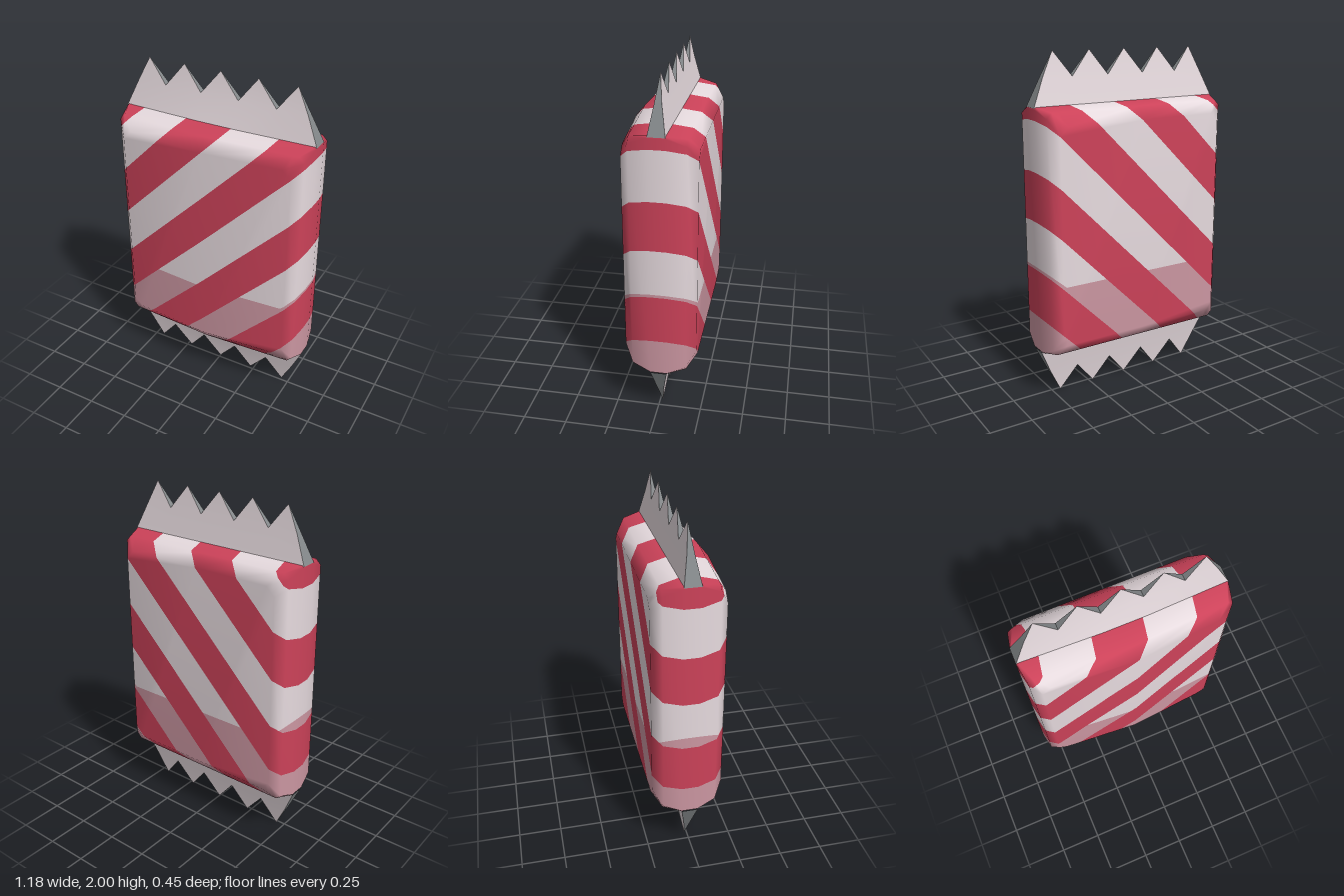
import * as THREE from 'three';

const mat = (name, color, side = THREE.FrontSide) => {
  const m = new THREE.MeshStandardMaterial({ color, side });
  m.name = name;
  return m;
};

function addMesh(group, name, geometry, material) {
  const mesh = new THREE.Mesh(geometry, material);
  mesh.name = name;
  group.add(mesh);
}

function indexed(points, index) {
  const g = new THREE.BufferGeometry();
  g.setAttribute('position', new THREE.Float32BufferAttribute(points.flat(), 3));
  g.setIndex(index);
  g.computeVertexNormals();
  return g;
}

// Pillow body: chamfered rectangles stacked from back to front, with a soft front ridge
function bodyGeometry() {
  // half width, half height, corner chamfer, z at the ends, z at the middle
  const layers = [
    [0.52, 0.62, 0.05, -0.225, -0.225],
    [0.57, 0.69, 0.03, -0.17, -0.17],
    [0.59, 0.71, 0.01, -0.065, -0.065],
    [0.59, 0.71, 0.01, 0.03, 0.05],
    [0.57, 0.69, 0.03, 0.135, 0.165],
    [0.52, 0.62, 0.05, 0.185, 0.222],
  ];
  const points = [], index = [], n = 10;
  for (const [w, h, c, ze, zm] of layers) {
    const ring = [[w, c - h], [w, h - c], [w - c, h], [0, h], [c - w, h],
      [-w, h - c], [-w, c - h], [c - w, -h], [0, -h], [w - c, -h]];
    for (const [x, y] of ring) points.push([x, y + 1, x === 0 ? zm : ze]);
  }
  for (let l = 0; l < layers.length - 1; l++) {
    for (let i = 0; i < n; i++) {
      const a = l * n + i, b = l * n + (i + 1) % n;
      index.push(a, b, b + n, a, b + n, a + n);
    }
  }
  const fan = (ids) => {
    for (let i = 1; i < ids.length - 1; i++) index.push(ids[0], ids[i], ids[i + 1]);
  };
  const f = (layers.length - 1) * n;
  fan([8, 9, 0, 1, 2, 3].map((i) => i + f));
  fan([3, 4, 5, 6, 7, 8].map((i) => i + f));
  fan([3, 2, 1, 0, 9, 8]);
  fan([8, 7, 6, 5, 4, 3]);
  return indexed(points, index);
}

// Keep the part of a polygon where f >= 0; vertices are [x, y, z, nx, ny, nz]
function clip(poly, f) {
  const out = [];
  poly.forEach((p, i) => {
    const q = poly[(i + 1) % poly.length], a = f(p), b = f(q);
    if (a >= 0) out.push(p);
    if ((a >= 0) !== (b >= 0)) {
      const t = a / (a - b);
      out.push(p.map((v, k) => v + (q[k] - v) * t));
    }
  });
  return out;
}

// Cut the body into diagonal stripes; the pale ones turn pink near the bottom
function stripeGeometries() {
  const g = bodyGeometry(), pos = g.attributes.position, nor = g.attributes.normal;
  const parts = { red: [], white: [], pink: [] };
  const emit = (key, poly) => {
    for (let i = 1; i < poly.length - 1; i++) parts[key].push(poly[0], poly[i], poly[i + 1]);
  };
  const zones = [
    { from: -1, to: -0.5, level: (x) => 0.73 + (-x - 0.5) * 0.88 },
    { from: -0.5, to: 0.5, level: () => 0.73 },
    { from: 0.5, to: 1, level: (x) => 0.73 + (x - 0.5) * 0.88 },
  ];
  const start = -0.645, width = 0.2825;
  for (let t = 0; t < g.index.count; t += 3) {
    const tri = [0, 1, 2].map((k) => {
      const i = g.index.getX(t + k);
      return [pos.getX(i), pos.getY(i), pos.getZ(i), nor.getX(i), nor.getY(i), nor.getZ(i)];
    });
    for (const { from, to, level } of zones) {
      const zone = clip(clip(tri, (p) => p[0] - from), (p) => to - p[0]);
      for (let k = 0; k < 12; k++) {
        const lo = start + k * width;
        const band = clip(clip(zone, (p) => p[1] - p[0] - lo), (p) => lo + width - p[1] + p[0]);
        if (k % 2 === 0) {
          emit('red', band);
        } else {
          emit('white', clip(band, (p) => p[1] - level(p[0])));
          emit('pink', clip(band, (p) => level(p[0]) - p[1]));
        }
      }
    }
  }
  const build = (verts) => {
    const out = new THREE.BufferGeometry();
    out.setAttribute('position', new THREE.Float32BufferAttribute(verts.flatMap((v) => v.slice(0, 3)), 3));
    out.setAttribute('normal', new THREE.Float32BufferAttribute(verts.flatMap((v) => v.slice(3)), 3));
    return out;
  };
  return { red: build(parts.red), white: build(parts.white), pink: build(parts.pink) };
}

// Crimped seal with five teeth; s = 1 for the top end, -1 for the bottom
function makeSeal(name, s, paper, edge) {
  const group = new THREE.Group();
  group.name = name;
  const baseX = [-0.59, -0.36, -0.12, 0.12, 0.36, 0.59];
  const midX = [-0.52, -0.34, -0.115, 0.115, 0.34, 0.52];
  const tipX = [-0.45, -0.225, 0, 0.225, 0.45];
  const sheet = (front) => [
    ...baseX.map((x) => [x, 1 + s * 0.705, front ? 0.05 - 0.034 * Math.abs(x) : -0.065]),
    ...midX.map((x) => [x, 1 + s * 0.86, front ? 0.003 : -0.035]),
    ...tipX.map((x) => [x, 1 + s, -0.016]),
  ];
  const orient = (index, flip) => {
    if (flip) index.reverse();
    return index;
  };
  for (const front of [true, false]) {
    const index = [];
    for (let i = 0; i < 5; i++) {
      index.push(i, i + 1, i + 7, i, i + 7, i + 6, i + 6, i + 7, i + 12);
    }
    addMesh(group, front ? 'sealFront' : 'sealBack',
      indexed(sheet(front), orient(index, front !== (s > 0))), paper);
  }
  // Cut edge between the two sheets, zigzagging over the teeth
  const outline = [0, 6, 12, 7, 13, 8, 14, 9, 15, 10, 16, 11, 5];
  const f = sheet(true), b = sheet(false), points = [], index = [];
  for (let i = 0; i < outline.length - 1; i++) {
    const p = outline[i], q = outline[i + 1], k = points.length;
    points.push(f[p], f[q], b[q], b[p]);
    index.push(k, k + 1, k + 2, k, k + 2, k + 3);
  }
  addMesh(group, 'sealCutEdge', indexed(points, orient(index, s < 0)), edge);
  return group;
}

export function createModel() {
  const white = mat('wrapperWhite', 0xe6dade);
  const red = mat('stripeRed', 0xcc4259);
  const pink = mat('lowerPink', 0xcc97a2);
  const gray = mat('cutEdgeGray', 0x84888a);

  const model = new THREE.Group();
  model.name = 'wrappedPacket';

  const body = new THREE.Group();
  body.name = 'body';
  const stripes = stripeGeometries();
  addMesh(body, 'redStripes', stripes.red, red);
  addMesh(body, 'whiteStripes', stripes.white, white);
  addMesh(body, 'pinkStripes', stripes.pink, pink);
  model.add(body);

  model.add(makeSeal('topSeal', 1, white, gray));
  model.add(makeSeal('bottomSeal', -1, white, gray));
  return model;
}
